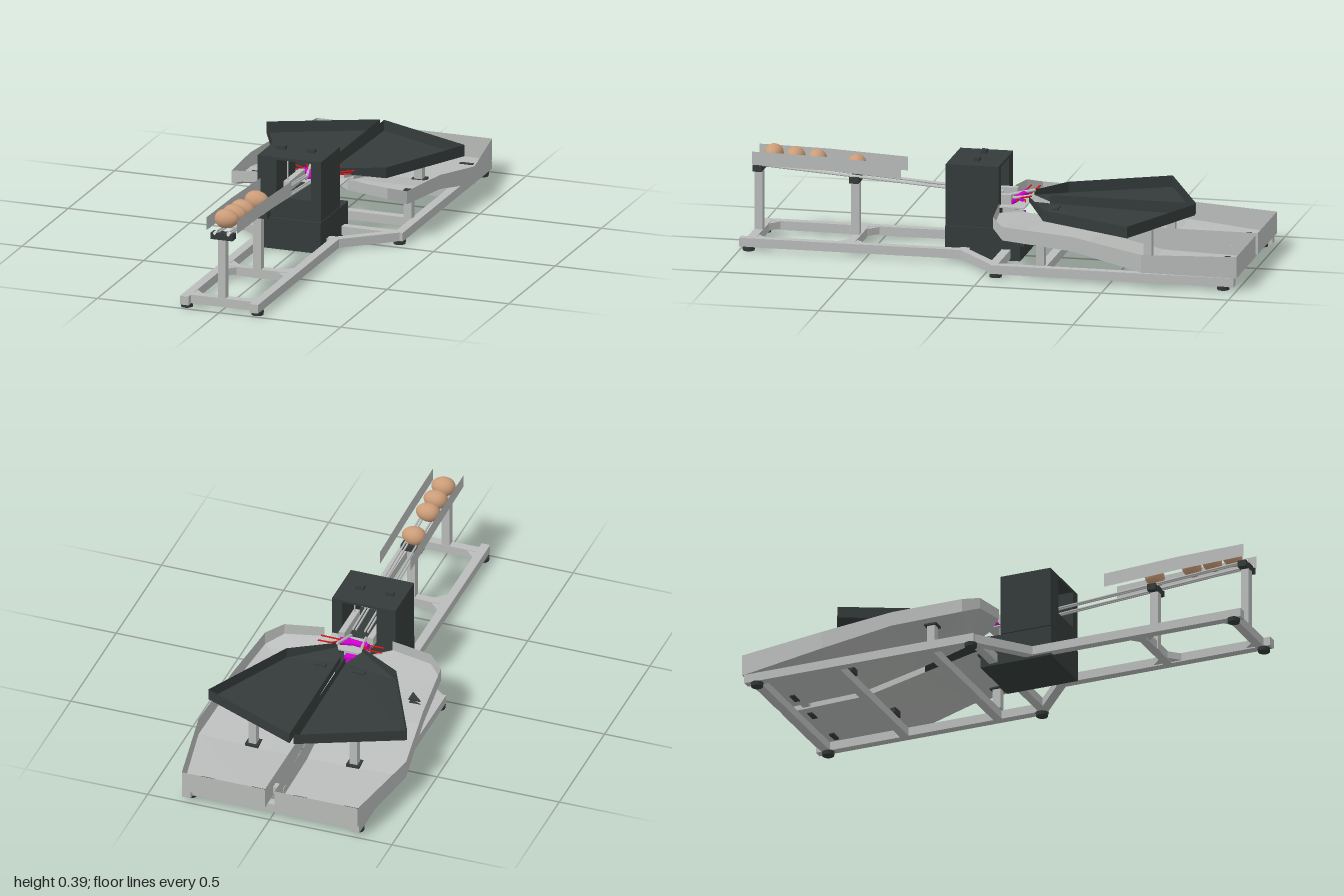
import * as THREE from 'three';

export function createModel() {
  const model = new THREE.Group();
  const mat = (name, color) => {
    const m = new THREE.MeshStandardMaterial({ color, side: THREE.DoubleSide });
    m.name = name;
    return m;
  };
  const grey = mat('light grey metal', 0xb9bcba);
  const dark = mat('dark slate', 0x343b3a);
  const tan = mat('eggshell', 0xcb9c78);
  const magenta = mat('magenta', 0xd400d4);
  const red = mat('red', 0xe01010);
  const white = mat('white', 0xe8e8e8);

  const add = (name, geo, material) => {
    const m = new THREE.Mesh(geo, material);
    m.name = name;
    model.add(m);
    return m;
  };
  // Box from its limits on each axis
  const box = (name, material, x0, x1, y0, y1, z0, z1) => {
    const m = add(name, new THREE.BoxGeometry(x1 - x0, y1 - y0, z1 - z0), material);
    m.position.set((x0 + x1) / 2, (y0 + y1) / 2, (z0 + z1) / 2);
    return m;
  };
  // Round rod between two points
  const rod = (name, material, a, b, r) => {
    const p = new THREE.Vector3(...a), d = new THREE.Vector3(...b).sub(p);
    const m = add(name, new THREE.CylinderGeometry(r, r, d.length(), 10), material);
    m.position.copy(p).addScaledVector(d, 0.5);
    m.quaternion.setFromUnitVectors(new THREE.Vector3(0, 1, 0), d.normalize());
    return m;
  };
  // Frame beam between two floor-plan points
  const beam = (x0, z0, x1, z1) => {
    const m = add('frameBeam', new THREE.BoxGeometry(0.035, 0.035, Math.hypot(x1 - x0, z1 - z0)), grey);
    m.position.set((x0 + x1) / 2, 0.0325, (z0 + z1) / 2);
    m.rotation.y = Math.atan2(x1 - x0, z1 - z0);
  };
  // Sheet between two rows of points
  const sheet = (name, material, a, b) => {
    const v = [];
    for (let i = 0; i < a.length - 1; i++) v.push(...a[i], ...b[i], ...b[i + 1], ...a[i], ...b[i + 1], ...a[i + 1]);
    const g = new THREE.BufferGeometry();
    g.setAttribute('position', new THREE.Float32BufferAttribute(v, 3));
    g.computeVertexNormals();
    add(name, g, material);
  };
  // Flat triangular plate lying in the floor plan
  const triangle = (name, material, pts, y, h) => {
    const s = new THREE.Shape(pts.map(([x, z]) => new THREE.Vector2(x, -z)));
    const m = add(name, new THREE.ExtrudeGeometry(s, { depth: h, bevelEnabled: false }), material);
    m.rotation.x = -Math.PI / 2;
    m.position.y = y;
  };

  // Base frame
  for (const z of [0.955, 0.57]) beam(-0.14, z, 0.14, z);
  beam(-0.14, 0.12, 0.14, 0.12);
  for (const z of [-0.04, -0.23, -0.62, -0.95]) beam(-0.34, z, 0.34, z);

  for (const s of [-1, 1]) {
    beam(s * 0.143, 1, s * 0.143, 0.1);
    beam(s * 0.143, 0.12, s * 0.345, -0.05);
    beam(s * 0.345, -0.03, s * 0.345, -0.99);
    for (const [z, d] of [[0.94, -1], [0.588, 1], [0.552, -1]])
      triangle('frameGusset', grey, [[s * 0.127, z], [s * 0.085, z], [s * 0.127, z + d * 0.042]], 0.02, 0.028);

    // Feet
    for (const [x, z] of [[0.145, 0.965], [0.342, -0.05], [0.342, -0.945]]) {
      const foot = add('foot', new THREE.CylinderGeometry(0.025, 0.023, 0.016, 20), dark);
      foot.position.set(s * x, 0.008, z);
    }

    // Collecting tray: sloping floor, outer, rear and inner walls
    const P = (x, y, z) => [s * x, y, z];
    const outer = [[0.14, 0.2, -0.02], [0.3, 0.18, -0.03], [0.36, 0.15, -0.08], [0.39, 0.13, -0.36], [0.425, 0.07, -0.64], [0.36, 0.05, -1]];
    const tops = [0.241, 0.224, 0.203, 0.187, 0.14, 0.135];
    const inner = [[0.06, 0.2, -0.09], [0.06, 0.19, -0.1], [0.03, 0.165, -0.2], [0.02, 0.115, -0.4], [0.02, 0.06, -0.64], [0.02, 0.05, -1]];
    const out = outer.map(p => P(...p)), inn = inner.map(p => P(...p));
    const outTop = outer.map(([x, , z], i) => P(x, tops[i], z));
    sheet('trayFloor', grey, out, inn);
    sheet('trayOuterWall', grey, out, outTop);
    sheet('trayRearWall', grey, [out[5], inn[5]], [outTop[5], P(0.02, 0.135, -1)]);
    sheet('trayInnerWall', grey, inn.slice(3), [P(0.02, 0.16, -0.4), P(0.02, 0.135, -0.64), P(0.02, 0.135, -1)]);

    // Upper dark wing: shallow five-sided pan
    const A = [0.008, 0.2, -0.76], B = [0.407, 0.198, -0.58], C = [0.225, 0.2, -0.21];
    const D = [0.05, 0.23, -0.115], E = [0.01, 0.215, -0.19];
    const pan = l => l.map(p => P(...p));
    const rim = l => l.map(p => P(p[0], p === D ? 0.25 : 0.243, p[2]));
    sheet('wingFloor', dark, pan([B, C, D]), pan([A, E, E]));
    sheet('wingWall', dark, pan([D, C, B, A, E]), rim([D, C, B, A, E]));

    // Posts and pads below tray and wing
    const mid = s * 0.315;
    box('trayPost', grey, mid - 0.016, mid + 0.016, 0.05, 0.13, -0.238, -0.206);
    box('trayPostCap', dark, mid - 0.025, mid + 0.025, 0.13, 0.137, -0.247, -0.197);
    triangle('trayBracket', dark, [[s * 0.34, -0.25], [s * 0.29, -0.25], [s * 0.29, -0.2]], 0.15, 0.006);
    const w = s * 0.207;
    box('wingPost', grey, w - 0.016, w + 0.016, 0.05, 0.198, -0.636, -0.604);
    box('wingPostBase', dark, w - 0.027, w + 0.027, 0.05, 0.075, -0.645, -0.595);
    for (const x of [0.085, 0.293])
      box('trayPad', dark, s * x - 0.027, s * x + 0.027, 0.05, 0.058, -0.91, -0.89);
    box('wingPad', dark, s * 0.08 - 0.025, s * 0.08 + 0.025, 0.213, 0.22, -0.24, -0.22);

    // Rack side plate
    const x = s * 0.063;
    sheet('rackSidePlate', grey, [[x, 0.317, 0.97], [x, 0.31, 0.7], [x, 0.295, 0.385]], [[x, 0.369, 0.97], [x, 0.365, 0.7], [x, 0.35, 0.385]]);

    // Sloping guide rods
    for (const gx of [0.018, 0.03]) rod('guideRod', grey, [s * gx, 0.31, 0.96], [s * gx, 0.245, 0], 0.004);

    // Rods, arms and pointers at the outlet
    rod('uprightRod', grey, [s * 0.06, 0.22, 0.1], [s * 0.06, 0.365, 0.1], 0.003);
    box('outletCheek', grey, s * 0.058 - 0.012, s * 0.058 + 0.012, 0.215, 0.255, -0.05, 0.12);
    rod('outletArm', grey, [s * 0.03, 0.23, -0.02], [s * 0.05, 0.25, -0.12], 0.006);
    for (const k of [0, 1]) rod('pointer', red, [s * 0.05, 0.235, -0.07 - k * 0.03], [s * 0.13, 0.247, -0.085 - k * 0.035], 0.003);
    rod('innerPointer', red, [s * 0.045, 0.24, -0.08], [s * 0.07, 0.255, -0.13], 0.003);
  }
  box('trayLink', grey, -0.022, 0.022, 0.06, 0.09, -0.91, -0.88);

  // Machine housing with a passage along z
  const shell = new THREE.Shape();
  shell.moveTo(-0.147, 0.133).lineTo(0.113, 0.133).lineTo(0.113, 0.375).lineTo(-0.147, 0.375).closePath();
  const hole = new THREE.Path();
  hole.moveTo(-0.07, 0.215).lineTo(-0.07, 0.365).lineTo(0.072, 0.365).lineTo(0.072, 0.215).closePath();
  shell.holes.push(hole);
  const housing = add('housing', new THREE.ExtrudeGeometry(shell, { depth: 0.208, bevelEnabled: false }), dark);
  housing.position.z = -0.01;
  box('housingBase', dark, -0.147, 0.113, 0.006, 0.13, -0.095, 0.2);
  for (let i = 0; i < 5; i++) box('coolingFin', dark, -0.14, 0.106, 0.062 + i * 0.014, 0.07 + i * 0.014, -0.11, -0.09);
  for (const x of [-0.088, 0.034]) box('housingKnob', dark, x - 0.017, x + 0.017, 0.375, 0.389, 0.08, 0.102);

  // Outlet mechanism with crossed rollers
  box('outletBlock', grey, -0.045, 0.045, 0.16, 0.215, -0.06, 0);
  box('outletPlate', grey, -0.06, 0.11, 0.212, 0.217, -0.11, -0.01);
  rod('roller', magenta, [-0.065, 0.238, -0.085], [0.06, 0.222, -0.045], 0.012);
  rod('roller', magenta, [-0.045, 0.222, -0.045], [0.05, 0.235, -0.09], 0.009);
  box('lowerRoller', magenta, -0.035, 0.035, 0.142, 0.172, -0.085, -0.06);

  // Rack posts with clamps
  for (const [z, top, hw] of [[0.955, 0.285, 0.045], [0.575, 0.258, 0.042]]) {
    box('rackPost', grey, -0.016, 0.016, 0.015, top, z - 0.016, z + 0.016);
    box('rackClamp', dark, -hw, hw, top, top + 0.025, z - 0.018, z + 0.018);
    for (const s of [-1, 1]) rod('clampScrew', white, [s * 0.028, top + 0.025, z], [s * 0.028, top + 0.025, z + 0.021], 0.006);
  }

  // Eggs, slightly blunter at one end
  const profile = [];
  for (let i = 0; i <= 20; i++) {
    const a = Math.PI * i / 20;
    profile.push(new THREE.Vector2(Math.max(0.037 * Math.sin(a) * (1 + 0.1 * Math.cos(a)), 0), -0.048 * Math.cos(a)));
  }
  const eggGeo = new THREE.LatheGeometry(profile, 28);
  for (const z of [0.9, 0.815, 0.73, 0.575]) {
    const egg = add('egg', eggGeo, tan);
    egg.rotation.z = -Math.PI / 2;
    egg.position.set(-0.006, 0.349 - (0.9 - z) * 0.075, z);
  }
  return model;
}
